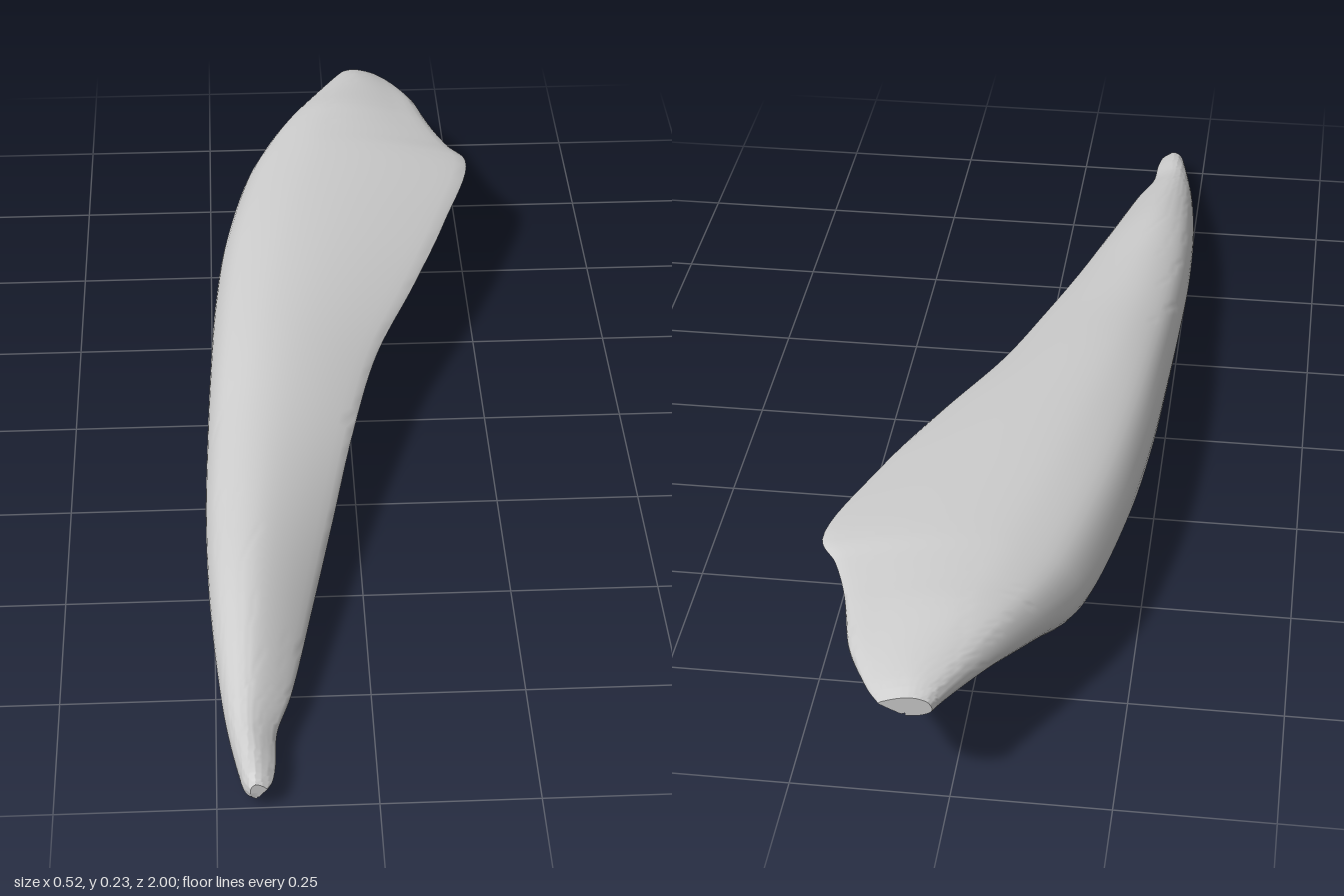
import * as THREE from 'three';
import { mergeVertices, toCreasedNormals } from 'three/addons/utils/BufferGeometryUtils.js';

const mix = THREE.MathUtils.lerp;

// Stations from the front tip to the rear joint:
// z, left x, right x, top y, right edge y, lip x, lip y, channel depth
const STATIONS = [
  [1.0, -0.198, -0.172, 0.048, 0.038, -0.188, 0.02, 0],
  [0.985, -0.208, -0.164, 0.054, 0.039, -0.193, 0.01, 0],
  [0.95, -0.216, -0.158, 0.062, 0.04, -0.197, 0.002, 0],
  [0.88, -0.229, -0.154, 0.072, 0.042, -0.197, 0.001, 0],
  [0.8, -0.24, -0.13, 0.09, 0.047, -0.185, 0.007, 0.1],
  [0.6, -0.256, -0.087, 0.134, 0.066, -0.165, 0.02, 0.25],
  [0.4, -0.261, -0.045, 0.157, 0.09, -0.145, 0.034, 0.4],
  [0.2, -0.257, -0.002, 0.179, 0.122, -0.12, 0.044, 0.55],
  [0.0, -0.25, 0.05, 0.204, 0.147, -0.1, 0.048, 0.65],
  [-0.2, -0.24, 0.13, 0.218, 0.164, -0.08, 0.052, 0.75],
  [-0.4, -0.22, 0.203, 0.226, 0.178, -0.055, 0.055, 0.85],
  [-0.62, -0.178, 0.262, 0.228, 0.185, -0.024, 0.053, 0.85],
  [-0.68, -0.156, 0.23, 0.227, 0.186, -0.018, 0.058, 0.7],
  [-0.74, -0.126, 0.207, 0.226, 0.186, -0.005, 0.085, 0.3],
  [-0.8, -0.092, 0.19, 0.224, 0.185, 0.01, 0.106, 0.05],
  [-0.88, -0.045, 0.17, 0.213, 0.182, 0.04, 0.132, 0],
  [-0.97, 0.008, 0.128, 0.199, 0.176, 0.06, 0.15, 0],
  [-1.0, 0.024, 0.106, 0.19, 0.175, 0.065, 0.156, 0],
];

// C-shaped section: domed top, rolled left side, upturned lip, hollow underside
function section([z, xl, xr, yt, ye, xb, yb, depth]) {
  const ym = mix(yb, yt, 0.5);
  const wallY = mix(yb, yt, 0.39);
  const lipY = yb + 0.035 * depth;
  // Swelling of the joint pad under the rear end
  const pad = 0.035 * Math.exp(-(((z + 0.83) / 0.09) ** 2));
  const inner = (s, x, y) => [
    mix(mix(xb, xr, s), x, depth) + 0.6 * pad * s,
    mix(mix(lipY, ye, s), y, depth) - pad * (0.3 + 4 * s * (1 - s)),
  ];
  const points = [
    [xr, ye],
    [mix(xl, xr, 0.78), mix(ye, yt, 0.58)],
    [mix(xl, xr, 0.46), yt],
    [mix(xl, xr, 0.24), mix(ym, yt, 0.95)],
    [mix(xl, xr, 0.07), mix(ym, yt, 0.6)],
    [xl, wallY],
    [mix(xl, xb, 0.33), mix(wallY, yb, 0.72)],
    [xb - 0.025 * depth, yb],
    [xb, mix(yb, lipY, 0.55) + 0.002],
    [xb - 0.012 * depth, lipY + 0.004],
    inner(0.15, mix(xl, xb, 0.55), mix(lipY, ym, 0.5)),
    inner(0.35, mix(xl, xr, 0.22), mix(ym, yt, 0.15)),
    inner(0.6, mix(xl, xr, 0.45), mix(yt, yb, 0.32)),
    inner(0.85, mix(xl, xr, 0.75), ye - 0.008 * depth),
  ].map(([x, y]) => new THREE.Vector3(x, y, z));
  return new THREE.CatmullRomCurve3(points, true, 'centripetal');
}

// Skin the sections with smooth lengthwise curves and close both ends
function loftGeometry(curves, around, along) {
  const positions = [];
  const indices = [];
  const rails = [];
  for (let j = 0; j < around; j++) {
    const rail = new THREE.CatmullRomCurve3(curves.map((c) => c.getPoint(j / around)), false, 'centripetal');
    rails.push(rail);
  }
  for (let i = 0; i <= along; i++) {
    for (const rail of rails) positions.push(...rail.getPoint(i / along).toArray());
  }
  for (let i = 0; i < along; i++) {
    for (let j = 0; j < around; j++) {
      const k = (j + 1) % around;
      const a = i * around + j, b = a + around;
      const c = i * around + k, d = c + around;
      indices.push(a, b, c, c, b, d);
    }
  }
  for (const end of [0, 1]) {
    const centre = new THREE.Vector3();
    for (const rail of rails) centre.addScaledVector(rail.getPoint(end), 1 / around);
    const hub = positions.length / 3;
    positions.push(...centre.toArray());
    for (let j = 0; j < around; j++) {
      const a = end * along * around + j;
      const b = end * along * around + (j + 1) % around;
      if (end) indices.push(hub, b, a);
      else indices.push(hub, a, b);
    }
  }
  const geometry = new THREE.BufferGeometry();
  geometry.setAttribute('position', new THREE.Float32BufferAttribute(positions, 3));
  geometry.setIndex(indices);
  return toCreasedNormals(mergeVertices(geometry), 0.9);
}

export function createModel() {
  const group = new THREE.Group();
  group.name = 'curvedBone';
  const material = new THREE.MeshStandardMaterial({ color: 0xcccccc });
  const shaft = new THREE.Mesh(loftGeometry(STATIONS.map(section), 70, 136), material);
  shaft.name = 'hollowBoneBlade';
  group.add(shaft);
  return group;
}
